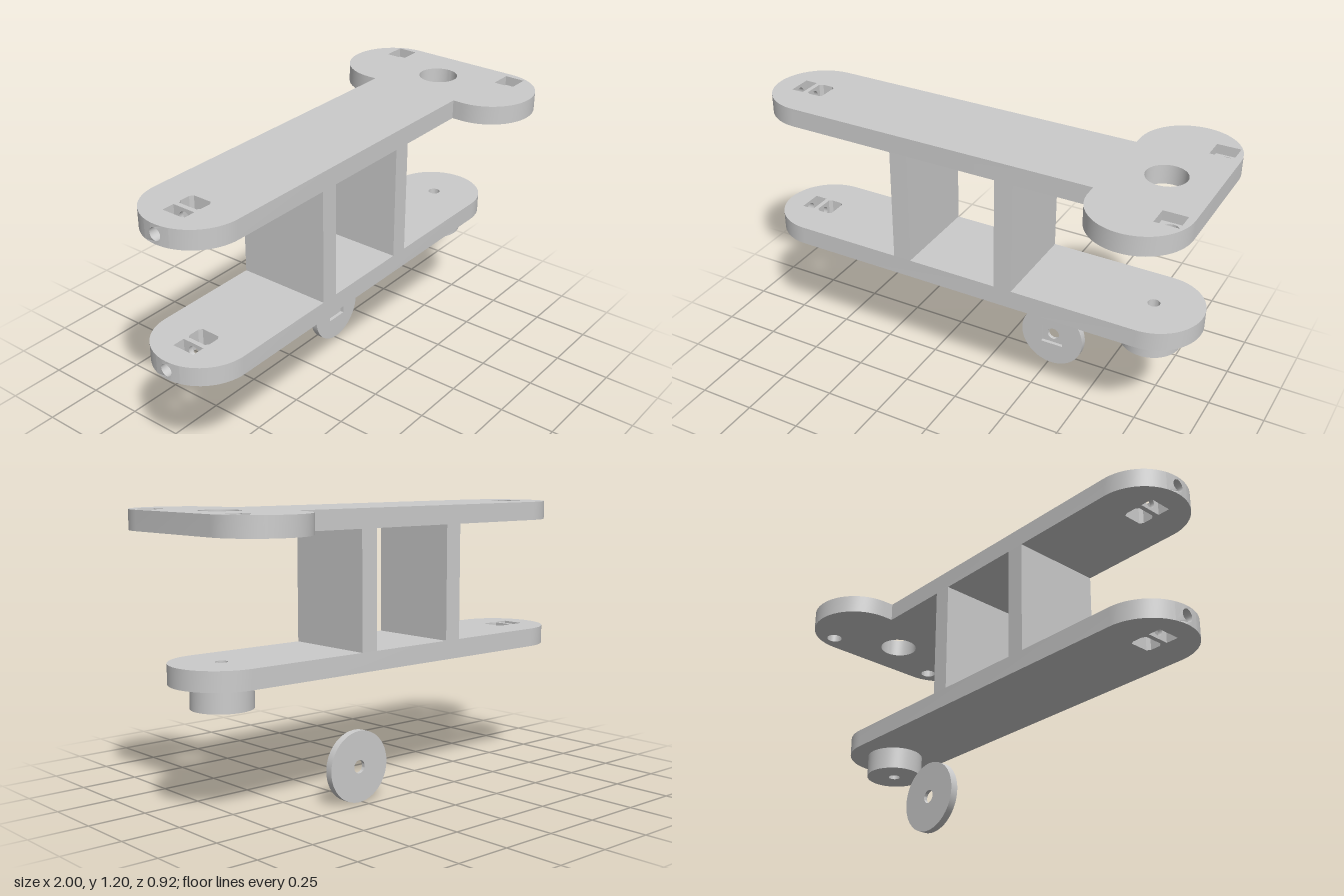
import * as THREE from 'three';
import { mergeGeometries, toCreasedNormals } from 'three/addons/utils/BufferGeometryUtils.js';

const R = 0.208;         // radius of the rounded plate ends
const CX = 0.792;        // x of the end centres
const T = 0.082;         // plate thickness
const BORE = 0.027;      // radius of the bolt bores
const OFF = 0.008;       // slight offset of the head holes

const material = new THREE.MeshStandardMaterial({ color: 0xcccccc, side: THREE.DoubleSide });

// Outlines are counter-clockwise lists of points in plan, with plan y = -z
const V = (x, y) => new THREE.Vector2(x, y);
const arc = (cx, cy, r, from, to, n) => Array.from({ length: n + 1 }, (_, i) => {
  const a = THREE.MathUtils.degToRad(from + (to - from) * i / n);
  return V(cx + r * Math.cos(a), cy + r * Math.sin(a));
});
const circle = (cx, cy, r, n = 48) => arc(cx, cy, r, 0, 360, n).slice(0, n);
const rect = (x0, x1, y0, y1) => [V(x0, y0), V(x1, y0), V(x1, y1), V(x0, y1)];

// Wall segments that are replaced by panels with a bore through them
const isBored = (p, q) => (p.x < -0.99 && q.x < -0.99) || (p.x === q.x && p.x < -0.82);

function clean(g) {
  g.deleteAttribute('uv');
  return g.index ? g.toNonIndexed() : g;
}

function shapeWith(points, holes) {
  const s = new THREE.Shape(points);
  s.holes = holes.map(h => new THREE.Path(h));
  return s;
}

// Flat horizontal face with holes
function face(points, holes, y, up) {
  const g = new THREE.ShapeGeometry(shapeWith(points, holes));
  g.rotateX(-Math.PI / 2).translate(0, y, 0);
  if (!up) {
    g.index.array.reverse();
    g.computeVertexNormals();
  }
  return clean(g);
}

// Vertical walls along a closed outline; inner walls face the hole
function walls(points, y0, y1, inner = false) {
  const pts = inner ? [...points].reverse() : points;
  const pos = [];
  pts.forEach((p, i) => {
    const q = pts[(i + 1) % pts.length];
    if (isBored(p, q)) return;
    pos.push(p.x, y0, -p.y, q.x, y0, -q.y, q.x, y1, -q.y);
    pos.push(p.x, y0, -p.y, q.x, y1, -q.y, p.x, y1, -p.y);
  });
  const g = new THREE.BufferGeometry();
  g.setAttribute('position', new THREE.Float32BufferAttribute(pos, 3));
  return toCreasedNormals(g, 0.5);
}

// Upright panel facing -x with a round bore, bent by the rule xAt(z)
function boredPanel(zs, xAt) {
  const outline = [...zs.map(z => V(z, 0)), ...[...zs].reverse().map(z => V(z, T))];
  const g = new THREE.ShapeGeometry(shapeWith(outline, [circle(0, T / 2, BORE, 24)]));
  const p = g.attributes.position;
  for (let i = 0; i < p.count; i++) {
    const z = p.getX(i);
    p.setXYZ(i, xAt(z), p.getY(i), z);
  }
  g.computeVertexNormals();
  return clean(g);
}

function tube(x0, x1) {
  const g = new THREE.CylinderGeometry(BORE, BORE, x1 - x0, 24, 1, true);
  return clean(g.rotateZ(Math.PI / 2).translate((x0 + x1) / 2, T / 2, 0));
}

// Slab with through holes and stepped pockets (wide above, round below)
function slab(name, outline, h, holes = [], pockets = [], extra = []) {
  const wide = pockets.map(p => p.wide), round = pockets.map(p => p.round);
  const parts = [
    face(outline, [...holes, ...wide], h, true),
    face(outline, [...holes, ...round], 0, false),
    walls(outline, 0, h),
    ...holes.map(p => walls(p, 0, h, true)),
    ...extra,
  ];
  for (const p of pockets) {
    parts.push(face(p.wide, [p.round], h / 2, true),
      walls(p.wide, h / 2, h, true), walls(p.round, 0, h / 2, true));
  }
  const mesh = new THREE.Mesh(mergeGeometries(parts), material);
  mesh.name = name;
  return mesh;
}

// Nut slots and lengthwise bolt bore at the narrow end of each arm
const slots = [
  rect(-0.905, -0.85, -0.052, 0.052),
  [V(-0.83, -0.042), V(-0.815, -0.052), V(-0.77, -0.052), V(-0.755, -0.042),
    V(-0.755, 0.042), V(-0.77, 0.052), V(-0.815, 0.052), V(-0.83, 0.042)],
];
const tipArc = arc(-CX, 0, R, 90, 270, 32);
const tipZ = tipArc.slice(13, 20).map(p => -p.y);
const boltBore = () => [
  boredPanel(tipZ, z => -CX - Math.sqrt(R * R - z * z)),
  boredPanel([-0.052, 0.052], () => -0.905),
  boredPanel([-0.052, 0.052], () => -0.85),
  boredPanel([-0.042, 0.042], () => -0.83),
  tube(-0.999, -0.905),
  tube(-0.85, -0.83),
];

export function createModel() {
  const model = new THREE.Group();
  model.name = 'armBracket';
  const add = (mesh, x, y, z) => {
    mesh.position.set(x, y, z);
    model.add(mesh);
    return mesh;
  };

  // Upper arm with a wide cross head
  const headZ = 0.25;
  const upperOutline = [
    ...tipArc, V(CX - R, -R),
    ...arc(CX, -headZ, R, 180, 360, 32),
    ...arc(CX, headZ, R, 0, 180, 32), V(CX - R, R),
  ];
  const pockets = [-1, 1].map(s => {
    const y = s * 0.292 + OFF;
    return { wide: rect(0.87, 0.97, y - 0.045, y + 0.045), round: circle(0.92, y, 0.035, 32) };
  });
  add(slab('upperArm', upperOutline, T, [...slots, circle(0.79, OFF, 0.085)], pockets, boltBore()),
    0, 1.12, 0);

  // Lower arm with a round boss underneath
  const lowerOutline = [...tipArc, ...arc(CX, 0, R, -90, 90, 32)];
  const pin = circle(0.79, 0, 0.026, 24);
  add(slab('lowerArm', lowerOutline, T, [...slots, pin], [], boltBore()), 0, 0.538, 0);
  add(slab('pivotBoss', circle(0.79, 0, 0.126), 0.1, [pin]), 0, 0.438, 0);

  // Pillars between the arms
  for (const x of [-0.275, 0.207]) {
    const pillar = new THREE.Mesh(new THREE.BoxGeometry(0.08, 0.5, 2 * R), material);
    pillar.name = 'pillar';
    add(pillar, x, 0.87, 0);
  }

  // Separate washer disc with a square nut pocket on its front
  const nut = { wide: rect(-0.052, 0.052, -0.045, 0.045), round: circle(0, 0, 0.028, 32) };
  const disc = slab('washerDisc', circle(0, 0, 0.15, 64), 0.032, [], [nut]);
  disc.rotation.x = Math.PI / 2;
  add(disc, 0.264, 0.15, -0.208);

  return model;
}
